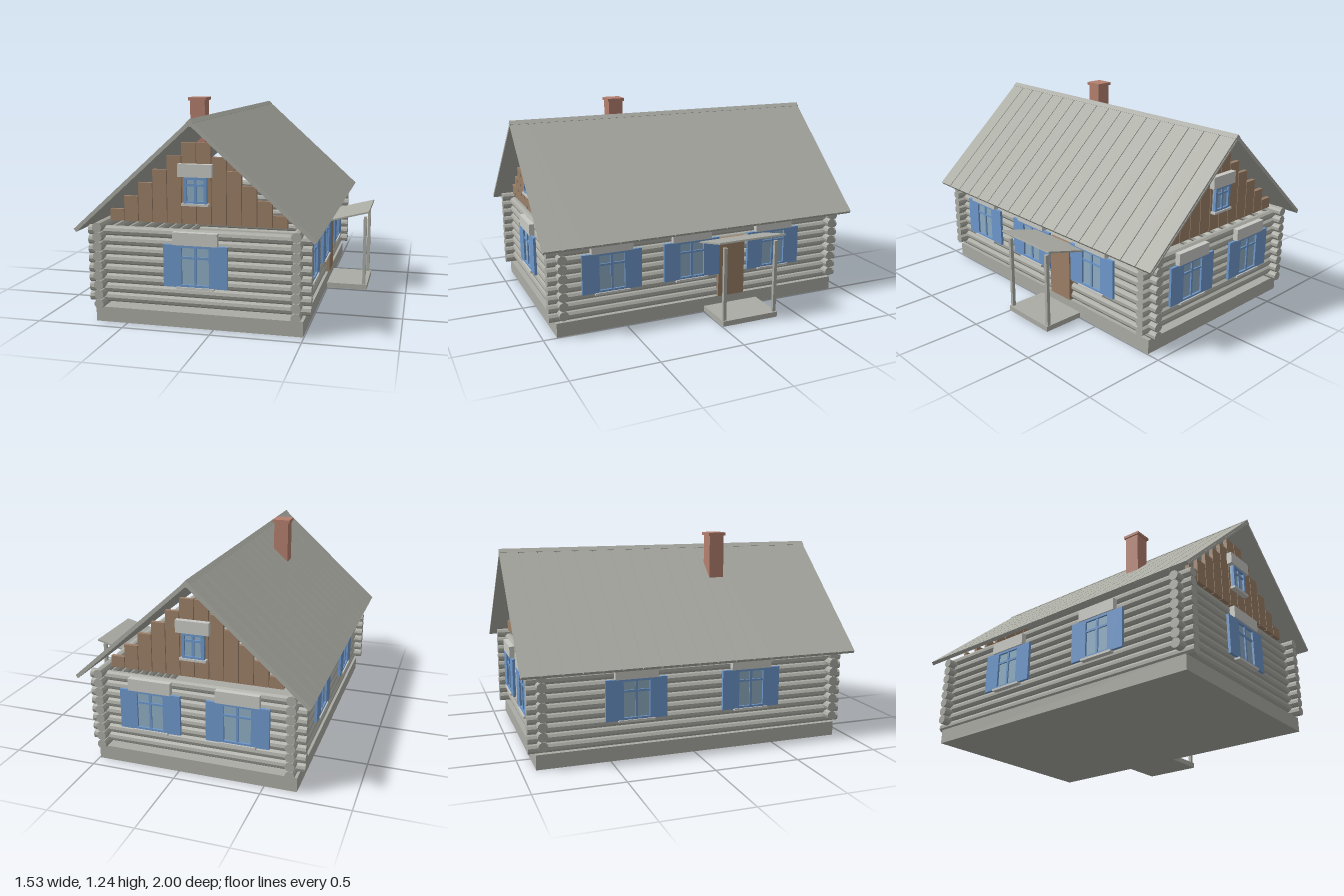
import * as THREE from 'three';

const mat = (name, color, flat = false) => {
  const m = new THREE.MeshStandardMaterial({ color, flatShading: flat });
  m.name = name;
  return m;
};

export function createModel() {
  const house = new THREE.Group();
  house.name = 'logCabin';
  const grey = mat('weatheredGrey', 0xabaca4, true);
  const pale = mat('paleBoard', 0xc9c9c4);
  const blue = mat('bluePaint', 0x6e98cc);
  const glass = mat('windowGlass', 0x8fafc4);
  const brown = mat('brownWood', 0x9c8068);
  const brick = mat('brick', 0xb47f6e);

  const CX = -0.095;              // centre line of the house
  const HX = 0.555, HZ = 0.885;   // wall axes from the centre line
  const R = 0.028, PITCH = 0.0545;

  const box = (parent, name, m, w, h, d, x, y, z) => {
    const mesh = new THREE.Mesh(new THREE.BoxGeometry(w, h, d), m);
    mesh.position.set(x, y, z);
    mesh.name = name;
    parent.add(mesh);
    return mesh;
  };

  // Foundation
  box(house, 'foundation', grey, 1.18, 0.085, 1.84, CX, 0.0425, 0);

  // Log walls, side logs offset by half a log from the end logs
  const log = (name, len, x, y, z, alongX) => {
    const mesh = new THREE.Mesh(new THREE.CylinderGeometry(R, R, len, 10), grey);
    if (alongX) mesh.rotation.z = Math.PI / 2;
    else mesh.rotation.x = Math.PI / 2;
    mesh.position.set(x, y, z);
    mesh.name = name;
    house.add(mesh);
  };
  for (const s of [-1, 1]) {
    for (let i = 0; i < 9; i++) log('sideLog', 1.92, CX + s * HX, 0.112 + i * PITCH, 0, false);
    for (let i = 0; i < 8; i++) log('endLog', 1.26, CX, 0.139 + i * PITCH, s * HZ, true);
  }

  // Window facing local +z, origin at the centre of the opening
  const addWindow = (x, y, z, turn, w, h, shutters) => {
    const g = new THREE.Group();
    g.name = 'window';
    const t = 0.018;
    box(g, 'pane', glass, w, h, 0.012, 0, 0, 0.006);
    for (const s of [-1, 1]) {
      box(g, 'frameSide', blue, t, h, 0.024, s * (w - t) / 2, 0, 0.012);
      box(g, 'frameRail', blue, w - 2 * t, t * 0.8, 0.024, 0, s * (h - t * 0.8) / 2, 0.012);
      if (shutters) box(g, 'shutter', blue, 0.085, h, 0.016, s * (w / 2 + 0.0425), 0, 0.016);
    }
    box(g, 'mullion', blue, 0.014, h - t, 0.02, 0, 0, 0.01);
    box(g, 'crossBar', blue, w - 2 * t, 0.012, 0.02, 0, h * 0.2, 0.01);
    box(g, 'headBoard', pale, w + 0.06, 0.07, 0.032, 0, h / 2 + 0.035, 0.016);
    box(g, 'sill', pale, w + 0.02, 0.013, 0.032, 0, -h / 2 - 0.004, 0.016);
    g.position.set(x, y, z);
    g.rotation.y = turn;
    house.add(g);
  };
  const WY = 0.352, Q = Math.PI / 2, out = R - 0.002;
  addWindow(CX, WY, HZ + out, 0, 0.19, 0.235, true);
  for (const s of [-1, 1]) {
    addWindow(CX + s * 0.255, WY, -HZ - out, Math.PI, 0.19, 0.235, true);
    addWindow(CX - HX - out, WY, s * 0.35, -Q, 0.19, 0.235, true);
    addWindow(CX, 0.767, s * (HZ + 0.012), s > 0 ? 0 : Math.PI, 0.13, 0.145, false);
  }
  for (const z of [0.587, 0.085, -0.47]) addWindow(CX + HX + out, WY, z, Q, 0.19, 0.235, true);

  // Stepped gable boards
  const tops = [0.645, 0.72, 0.797, 0.872, 0.947, 1.022];
  for (const s of [-1, 1]) {
    for (let i = 0; i < 12; i++) {
      const h = tops[Math.min(i, 11 - i)] - 0.58;
      box(house, 'gableBoard', brown, 0.079, h, 0.024, CX + (i - 5.5) * 0.0833, 0.58 + h / 2, s * HZ);
    }
  }

  // Roof slopes: thin deck with planks on top, and a ridge beam
  const run = 0.665, rise = 0.6, len = Math.hypot(run, rise), N = 18;
  for (const s of [-1, 1]) {
    const slope = new THREE.Group();
    slope.name = 'roofSlope';
    box(slope, 'roofDeck', grey, len, 0.01, 2, 0, -0.006, 0);
    for (let i = 0; i < N; i++) {
      box(slope, 'roofPlank', grey, len, 0.012, 2 / N - 0.005, 0, 0.005, (i - (N - 1) / 2) * (2 / N));
    }
    slope.position.set(CX + s * run / 2, 1.135 - rise / 2, 0);
    slope.rotation.z = -s * Math.atan2(rise, run);
    house.add(slope);
  }
  const ridge = box(house, 'ridgeBeam', grey, 0.03, 0.03, 2, CX, 1.133, 0);
  ridge.rotation.z = Math.PI / 4;

  // Chimney
  box(house, 'chimneyStack', brick, 0.092, 0.26, 0.092, -0.258, 1.09, 0.29);
  box(house, 'chimneyCap', brick, 0.11, 0.018, 0.11, -0.258, 1.226, 0.29);

  // Door and porch
  box(house, 'door', brown, 0.03, 0.37, 0.175, 0.487, 0.27, -0.183);
  box(house, 'porchFloor', grey, 0.255, 0.032, 0.36, 0.627, 0.021, -0.182);
  for (const z of [-0.015, -0.348]) box(house, 'porchPost', grey, 0.02, 0.45, 0.02, 0.735, 0.255, z);
  const canopy = box(house, 'porchRoof', grey, 0.28, 0.01, 0.435, 0.625, 0.483, -0.183);
  canopy.rotation.z = Math.atan2(0.06, 0.23);

  return house;
}
